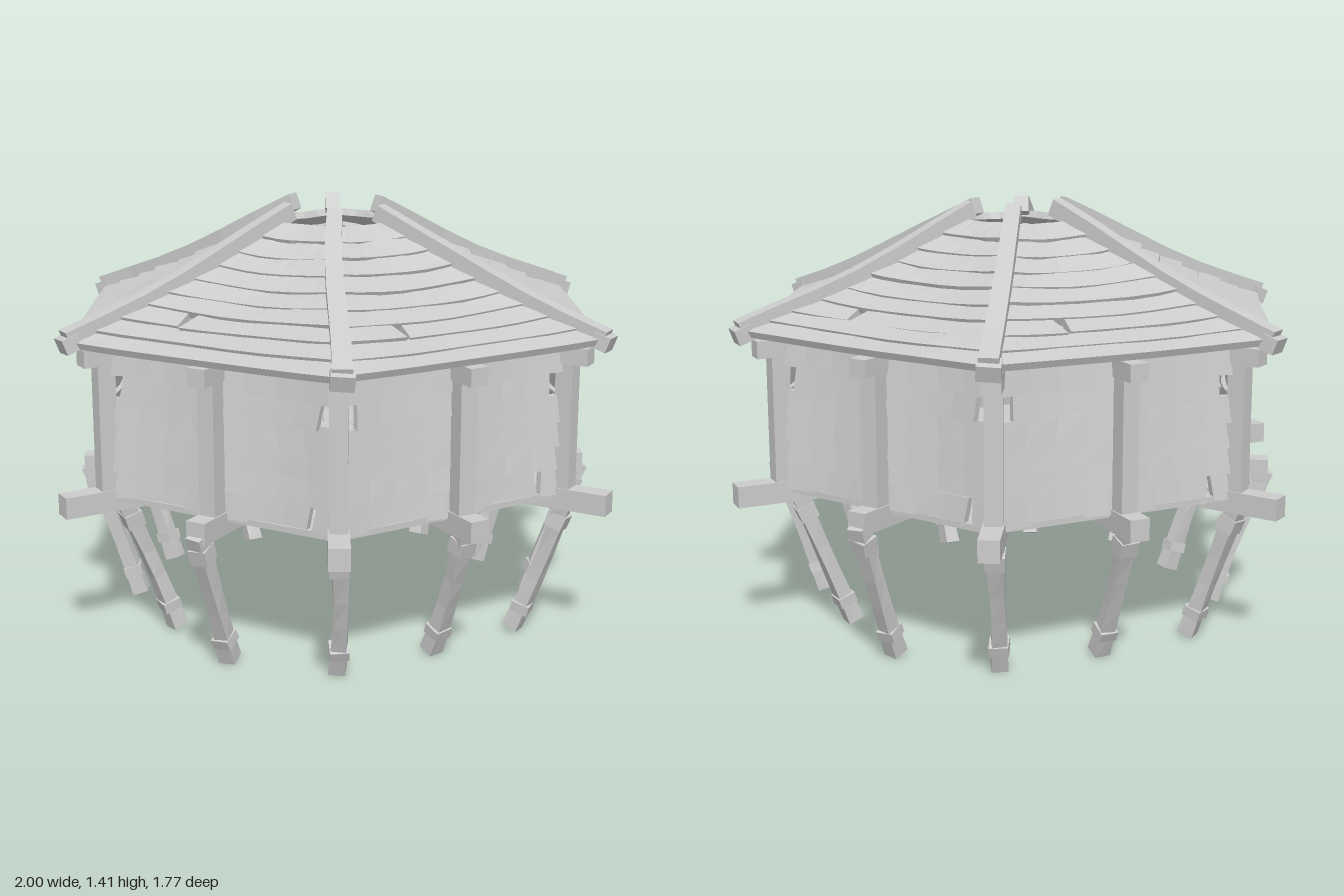
import * as THREE from 'three';

const material = new THREE.MeshStandardMaterial({ color: 0xcccccc, flatShading: true });
const STEP = Math.PI / 6;
const TAN30 = Math.tan(STEP);

// Small seeded generator for hand-cut irregularity
let seed = 7;
const jitter = (amount) => {
  seed = (seed * 16807) % 2147483647;
  return (seed / 2147483647 - 0.5) * 2 * amount;
};

const add = (parent, name, geometry) => {
  const mesh = new THREE.Mesh(geometry, material);
  mesh.name = name;
  parent.add(mesh);
  return mesh;
};

// Unit box bent by a rule: f(u, v, w), each from -0.5 to 0.5, gives the new point
function shaped(parent, name, segs, f) {
  const geometry = new THREE.BoxGeometry(1, 1, 1, ...segs);
  const p = geometry.attributes.position;
  for (let i = 0; i < p.count; i++) p.setXYZ(i, ...f(p.getX(i), p.getY(i), p.getZ(i)));
  geometry.computeVertexNormals();
  return add(parent, name, geometry);
}

function block(parent, name, size, position) {
  const mesh = add(parent, name, new THREE.BoxGeometry(...size));
  mesh.position.set(...position);
  return mesh;
}

// Group turned so that its local +z points outward at the given angle
function sector(parent, name, angle) {
  const group = new THREE.Group();
  group.name = name;
  group.rotation.y = angle;
  parent.add(group);
  return group;
}

// Height of the slightly hollow roof slope at a corner radius
const roofY = (r) => 0.992 + (1 - r) * 0.43 - 0.016 * Math.sin((Math.PI * (r - 0.18)) / 0.82);

// One wall plank from x0 to x1, with wavy edges and a slight inward bow
function wallPlank(parent, x0, x1, y0, y1) {
  const tilt = jitter(0.008), phase = jitter(3), skew = jitter(0.02), depth = jitter(0.005);
  shaped(parent, 'wallPlank', [8, 1, 1], (u, v, w) => {
    const x = x0 + (x1 - x0) * (u + 0.5) + skew * v;
    const bow = 0.022 * Math.abs(Math.sin((x / 0.425) * Math.PI));
    const y = y0 + (y1 - y0) * (v + 0.5) + tilt * x + 0.003 * Math.sin(x * 9 + phase + v * 2);
    return [x, y, 0.725 - bow + depth + w * 0.022 - v * 0.012];
  });
}

function buildWall(parent) {
  const rows = [[0.5, 0.588], [0.585, 0.667], [0.664, 0.747], [0.744, 0.827], [0.824, 0.906], [0.903, 0.993]];
  rows.forEach(([y0, y1], i) => {
    const half = i === 4 ? 0.355 : 0.405 + jitter(0.012);
    if (i === 0) {
      // broken bottom plank
      wallPlank(parent, -half, 0.315, y0, y1);
      wallPlank(parent, 0.335, half, y0, y1);
    } else wallPlank(parent, -half, half, y0, y1);
  });
}

// One roof plank from apothem upper to lower, t0 to t1 of the face width, sagging between the ridges
function roofPlank(parent, upper, lower, t0, t1, skew) {
  const phase = jitter(3), tilt = jitter(0.008), lift = jitter(0.004);
  shaped(parent, 'roofPlank', [7, 1, 1], (u, v, w) => {
    const t = t0 + (t1 - t0) * (u + 0.5) - skew * v * (u > 0 ? 1 : 0);
    const a = lower + (upper - lower) * (v + 0.5);
    const wave = 0.005 * Math.sin(t * 5 + phase + v * 2) + tilt * t;
    const k = (a - 0.18) / 0.65;
    const sag = (0.004 + 0.014 * Math.sin(Math.PI * Math.min(k, 1))) * (1 - t * t);
    const y = roofY(a / 0.866) - sag + lift - v * 0.008 + w * 0.022;
    return [t * a * TAN30, y, a + wave * (a < 0.78 ? 1 : 0.4) + w * 0.01];
  });
}

function buildRoofFace(parent) {
  const rows = 9, start = 0.18, pitch = 0.65 / rows;
  for (let i = 0; i < rows; i++) {
    const upper = start + i * pitch, lower = start + (i + 1) * pitch + (i < rows - 1 ? 0.006 : 0);
    if (i === 6) {
      // split plank leaving a notch
      roofPlank(parent, upper, lower, -1, -0.45, 0.08);
      roofPlank(parent, upper, lower, -0.38, 1, 0);
    } else roofPlank(parent, upper, lower, -1, 1, 0);
  }
}

// Flat floor planks laid parallel to the wall, between the beams
function buildFloor(parent) {
  const rows = 8, pitch = 0.73 / rows;
  for (let i = 0; i < rows; i++) {
    const lift = jitter(0.003);
    shaped(parent, 'floorPlank', [1, 1, 1], (u, v, w) => {
      const a = (i + 0.5 + w * 0.97) * pitch;
      return [2 * u * a * TAN30, 0.5 + lift + v * 0.02, a];
    });
  }
}

// Crooked ridge beam running up a roof corner
function buildRidge(parent) {
  const side = jitter(0.016), twist = jitter(0.3), inner = 0.155 + jitter(0.02);
  shaped(parent, 'ridgeBeam', [1, 1, 6], (u, v, w) => {
    const k = w + 0.5, r = inner + (0.965 - inner) * k;
    const width = 0.05 + 0.01 * k;
    const x = u * width + side * Math.sin(k * 5) + twist * 0.03 * (k - 0.5);
    return [x, roofY(r) + 0.016 + v * 0.052 + 0.005 * Math.sin(k * 7 + side * 90), r + v * 0.02];
  });
  const knob = block(parent, 'ridgeEnd', [0.072, 0.05, 0.055], [side * Math.sin(5) + twist * 0.015, 1.013, 0.955]);
  knob.rotation.set(0.35, 0, jitter(0.12));
}

// Leaning, tapered stilt with two bindings
function buildLeg(parent, topR, bottomR) {
  const leg = new THREE.Group();
  leg.name = 'leg';
  leg.position.set(0, 0.475, topR);
  leg.rotation.x = Math.atan2(topR - bottomR, 0.47);
  parent.add(leg);
  const length = 0.466 / Math.cos(leg.rotation.x);
  const bend = jitter(0.008), phase = jitter(2);
  const offset = (k) => bend * Math.sin(k * Math.PI);
  shaped(leg, 'legPole', [1, 5, 1], (u, v, w) => {
    const k = 0.5 - v, size = 0.054 - 0.01 * Math.sin(k * Math.PI);
    const turn = 0.15 * Math.sin(k * 4 + phase);
    return [(u - w * turn) * size + offset(k), -k * length, (w + u * turn) * size + offset(k)];
  });
  for (const [k, h] of [[0.14, 0.05], [0.83, 0.035]]) {
    const collar = block(leg, 'legCollar', [0.061, h, 0.061], [offset(k), -k * length, offset(k)]);
    collar.rotation.set(jitter(0.1), jitter(0.15), jitter(0.1));
  }
}

export function createModel() {
  seed = 7;
  const model = new THREE.Group();
  model.name = 'stiltHut';

  // Six wall, roof and floor sectors
  for (let i = 0; i < 6; i++) {
    buildWall(sector(model, 'wall', i * 2 * STEP));
    buildRoofFace(sector(model, 'roofFace', i * 2 * STEP));
    buildFloor(sector(model, 'floor', i * 2 * STEP));
  }

  // Twelve spokes: even ones at the middle of a wall, odd ones at the corners
  for (let i = 0; i < 12; i++) {
    const corner = i % 2 === 1;
    const spoke = sector(model, corner ? 'cornerFrame' : 'middleFrame', i * STEP);
    const postR = corner ? 0.845 : 0.765;
    const beamR = corner ? 1.0 : 0.86;
    const drop = corner ? 0 : 0.006;
    block(spoke, 'floorBeam', [0.066, 0.07, beamR], [0, 0.49 - drop, beamR / 2]);
    const post = block(spoke, 'post', [0.056, 0.47, 0.058], [0, 0.745, postR]);
    post.rotation.y = jitter(0.08);
    block(spoke, 'postTopBeam', [0.062, 0.056, 0.14], [0, 0.962, postR + 0.005]);
    buildLeg(spoke, i % 3 === 0 ? 0.79 : 0.85, i % 3 === 0 ? 0.61 : 0.68);
    if (corner) buildRidge(spoke);
  }
  return model;
}
